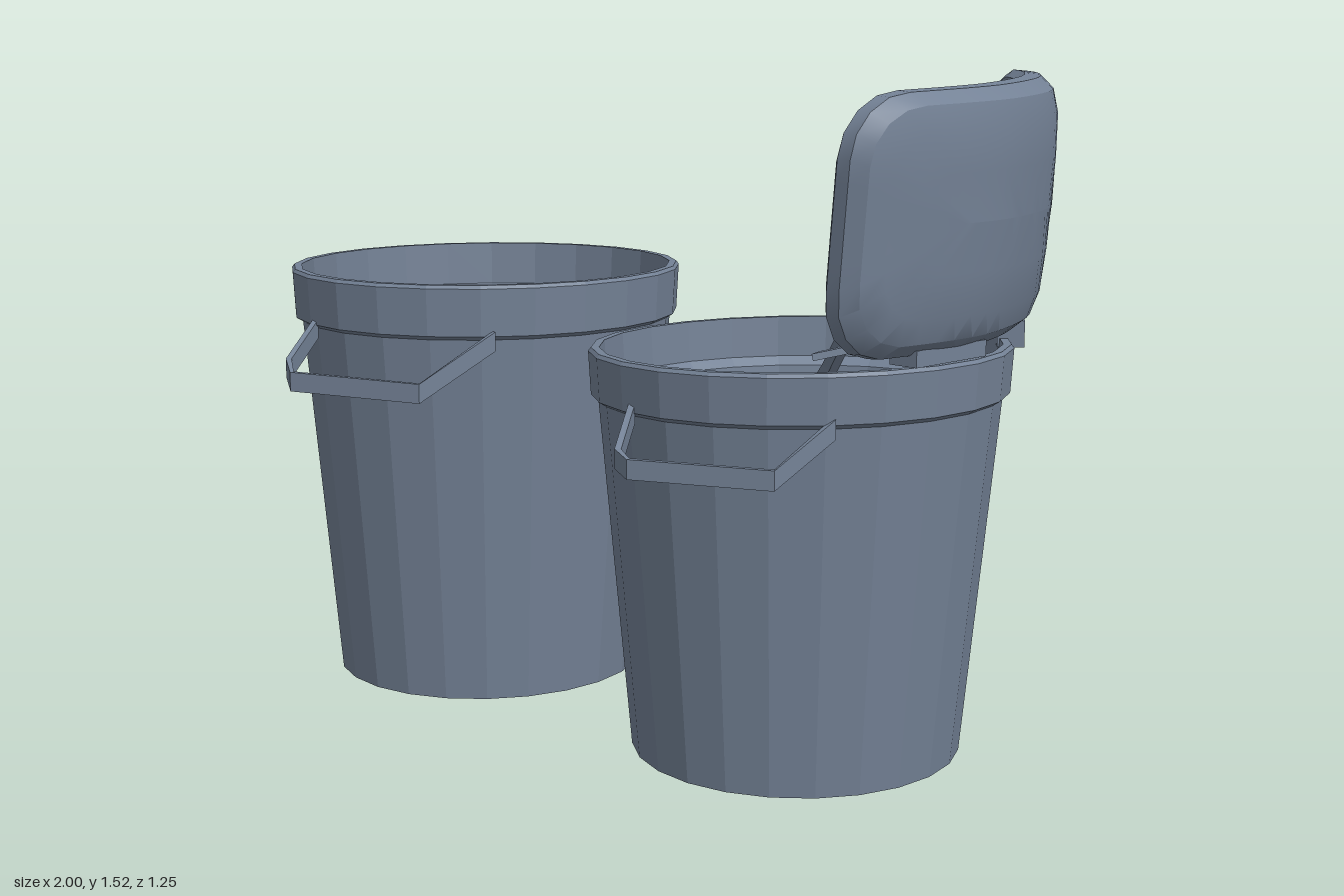
import * as THREE from 'three';
import { toCreasedNormals } from 'three/addons/utils/BufferGeometryUtils.js';

const V = (x, y, z) => new THREE.Vector3(x, y, z);

export function createModel() {
  const group = new THREE.Group();
  const slate = new THREE.MeshStandardMaterial({ color: 0x748296 });
  slate.name = 'slateGrey';

  const add = (name, geometry, crease = 0.1) => {
    const mesh = new THREE.Mesh(toCreasedNormals(geometry, crease), slate);
    mesh.name = name;
    group.add(mesh);
    return mesh;
  };

  // Joins rings of points into a skin and caps the first and last ring
  const loft = (rings) => {
    const n = rings[0].length, index = [];
    for (let i = 0; i < rings.length - 1; i++) {
      for (let k = 0; k < n; k++) {
        const a = i * n + k, b = i * n + (k + 1) % n;
        index.push(a, a + n, b + n, a, b + n, b);
      }
    }
    const e = (rings.length - 1) * n;
    for (let k = 1; k < n - 1; k++) index.push(0, k, k + 1, e, e + k + 1, e + k);
    const g = new THREE.BufferGeometry().setFromPoints(rings.flat());
    g.setIndex(index);
    return g;
  };

  // Flat strap through points; widths are measured along the across direction
  const strap = (name, pts, widths, thick, across) => {
    const rings = pts.map((p, i) => {
      const t = pts[Math.min(i + 1, pts.length - 1)].clone().sub(pts[Math.max(i - 1, 0)]);
      const side = t.cross(across).normalize().multiplyScalar(thick / 2);
      const w = across.clone().multiplyScalar((Array.isArray(widths) ? widths[i] : widths) / 2);
      return [[1, 1], [-1, 1], [-1, -1], [1, -1]].map(([s, u]) =>
        p.clone().addScaledVector(side, s).addScaledVector(w, u));
    });
    return add(name, loft(rings));
  };

  // Hollow tapered bucket with a thick rim; slant tips the rim slightly
  const bucket = (name, x, z, bottomR, rimR, rimY, topY, slant) => {
    const profile = [
      [0, 0.005], [bottomR, 0.005], [rimR - 0.022, rimY - 0.01], [rimR - 0.006, rimY],
      [rimR, topY - 0.008], [rimR - 0.006, topY], [rimR - 0.024, topY],
      [rimR - 0.03, rimY + 0.01], [rimR - 0.052, rimY - 0.01],
      [bottomR - 0.04, 0.04], [0, 0.04],
    ].map(([r, y]) => new THREE.Vector2(r, y));
    const g = new THREE.LatheGeometry(profile, 24);
    const p = g.attributes.position;
    for (let i = 0; i < p.count; i++) {
      p.setY(i, p.getY(i) + slant * p.getX(i) * Math.max(0, p.getY(i) - 0.1));
    }
    g.scale(1, 1, 1.03);
    add(name, g).position.set(x, 0, z);
  };
  bucket('openBucket', -0.522, -0.015, 0.381, 0.481, 0.91, 1.03, 0);
  bucket('liddedBucket', 0.479, -0.01, 0.369, 0.465, 0.822, 0.928, 0.025);

  // Carrying handles hanging at the front
  const up = V(0, 1, 0);
  strap('openBucketHandle', [V(-0.63, 0.9, 0.455), V(-0.58, 0.825, 0.58), V(-0.52, 0.805, 0.62),
    V(-0.22, 0.795, 0.495), V(-0.165, 0.9, 0.31)], 0.045, 0.014, up);
  strap('liddedBucketHandle', [V(0.385, 0.82, 0.445), V(0.44, 0.745, 0.55), V(0.49, 0.735, 0.575),
    V(0.765, 0.73, 0.445), V(0.81, 0.82, 0.31)], 0.042, 0.014, up);

  // Raised lid: rounded rectangle wrapped round a curve, with a recessed inside
  const curve = new THREE.CatmullRomCurve3([V(0.565, 0, -0.58), V(0.71, 0, -0.45), V(0.815, 0, -0.28),
    V(0.875, 0, -0.08), V(0.885, 0, 0.03), V(0.855, 0, 0.22), V(0.82, 0, 0.365)]);
  const L = curve.getLength() / 2, H = 0.272, R = 0.13;
  const outline = new THREE.Shape();
  outline.absarc(L - R, H - R, R, 0, Math.PI / 2);
  outline.absarc(-L + R, H - R, R, Math.PI / 2, Math.PI);
  outline.absarc(-L + R, -H + R, R, Math.PI, Math.PI * 1.5);
  outline.absarc(L - R, -H + R, R, Math.PI * 1.5, Math.PI * 2);
  outline.closePath();
  const edge = outline.getSpacedPoints(56).slice(0, 56);
  const lidPoint = (u, v, depth) => {
    const t = THREE.MathUtils.clamp(0.5 + u / (2 * L), 0, 1);
    const p = curve.getPointAt(t), d = curve.getTangentAt(t);
    const rise = v > 0 ? -0.035 * p.z * (v / H) : 0;
    return V(p.x + d.z * depth + v * 0.08, 1.232 + v + rise, p.z - d.x * depth);
  };
  // [inset from the outline, depth behind the inner face]; full inset closes the middle
  const lidRings = [[H, 0.055], [0.16, 0.055], [0.06, 0.05], [0.042, 0.005], [0.015, 0],
    [0, 0.02], [0.003, 0.055], [0.03, 0.085], [0.08, 0.1], [0.17, 0.105], [H, 0.107]];
  add('lid', loft(lidRings.map(([inset, depth]) => edge.map((e) =>
    lidPoint(e.x * (L - inset) / L, e.y * (H - inset) / H, depth)))), 0.5);

  // Grip and catch ring inside the lid
  strap('lidGrip', [V(0.86, 1.38, -0.28), V(0.8, 1.385, -0.26), V(0.84, 1.4, -0.02),
    V(0.94, 1.405, -0.02)], 0.045, 0.018, up);
  const ring = add('catchRing', new THREE.TorusGeometry(0.045, 0.011, 4, 8));
  ring.position.set(0.845, 1.11, 0.09);
  ring.rotation.y = Math.PI / 2;

  // Tongues reaching from the hinge down into the bucket
  const across = V(0.25, 0, 0.97);
  strap('longTongue', [V(0.47, 0.72, 0.03), V(0.54, 0.78, 0.06), V(0.66, 0.91, 0.12),
    V(0.74, 1.0, 0.17), V(0.81, 1.06, 0.18)], [0.07, 0.11, 0.06, 0.06, 0.04], 0.02, across);
  strap('shortTongue', [V(0.52, 0.64, -0.15), V(0.58, 0.72, -0.17), V(0.74, 0.9, -0.23),
    V(0.8, 0.97, -0.24)], [0.06, 0.085, 0.05, 0.04], 0.02, across);
  strap('upperBrace', [V(0.7, 0.96, 0.13), V(0.78, 1.02, 0.06), V(0.9, 1.06, 0.02)],
    [0.04, 0.05, 0.08], 0.015, across);
  strap('lowerBrace', [V(0.71, 0.95, 0.24), V(0.78, 0.97, 0.17), V(0.88, 1.0, 0.08)],
    [0.04, 0.05, 0.05], 0.015, across);

  // Hinge blocks between lid and rim, and ribs at the lid's far end
  const block = (name, size, pos, turn) => {
    const m = add(name, new THREE.BoxGeometry(...size));
    m.position.set(...pos);
    m.rotation.y = turn;
  };
  block('frontHinge', [0.07, 0.035, 0.23], [0.89, 0.957, 0.06], -0.08);
  block('rearHinge', [0.06, 0.06, 0.11], [0.795, 0.945, -0.37], 0.6);
  for (let i = 0; i < 4; i++) {
    block('lidRib', [0.07, 0.07, 0.014], [0.7 + i * 0.025, 1.06, -0.485 + i * 0.035], 0.65);
  }
  return group;
}
